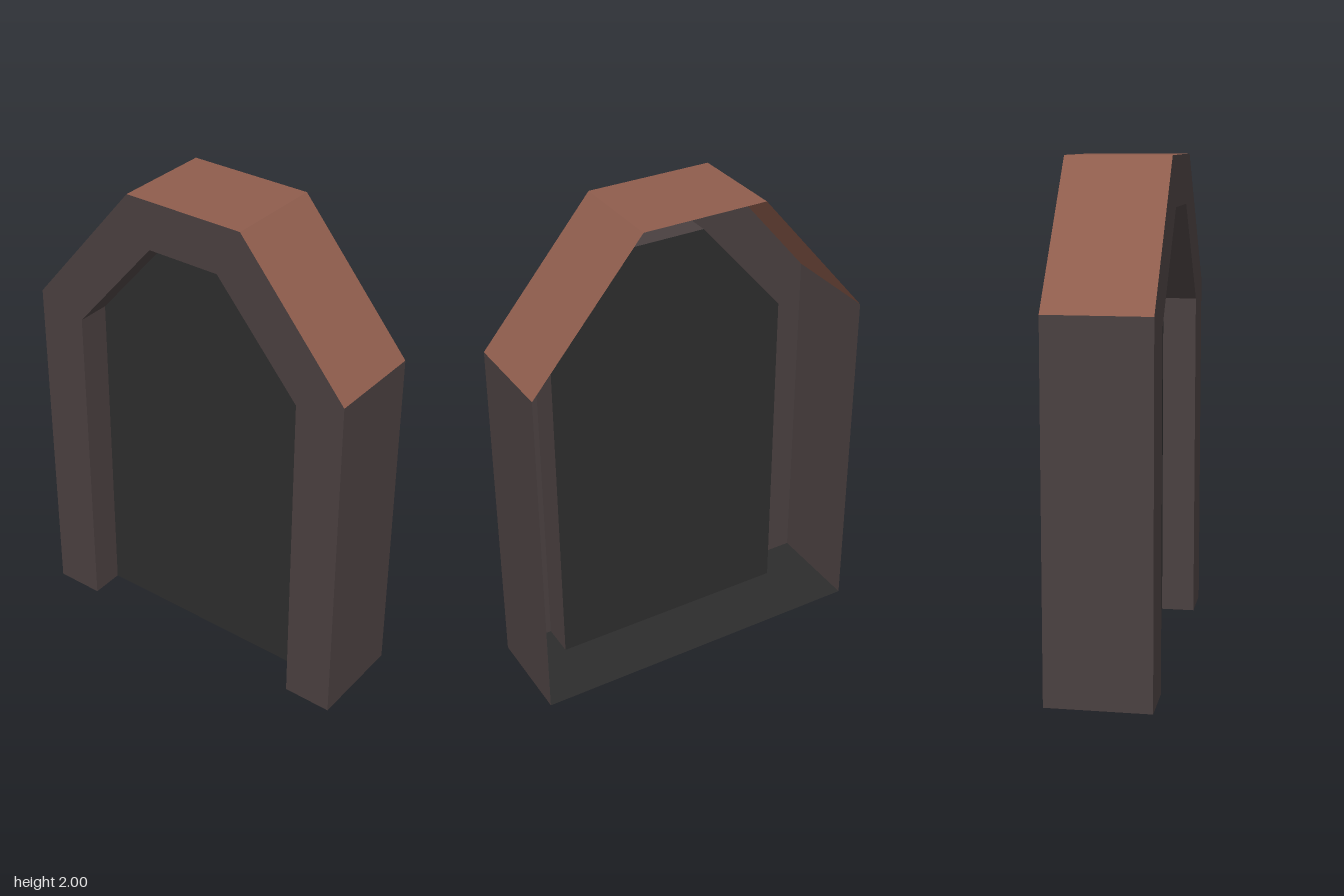
import * as THREE from 'three';

const FRONT = 0.205, BACK = -0.205, PANEL_Z = 0.065;

// Half outlines, mirrored across x: foot, shoulder, crown
const arch = (pts) => [...pts, ...pts.map(([x, y]) => [-x, y]).reverse()];
const OUTER = arch([[0.717, 0], [0.717, 1.453], [0.256, 2]]);
const INNER = arch([[0.513, 0], [0.513, 1.387], [0.155, 1.804]]);

const shapeOf = (pts) => new THREE.Shape(pts.map(([x, y]) => new THREE.Vector2(x, y)));

// Flat quads running in z along the given outline segments
function strip(pts, segments, zFront, zBack, inward) {
  const pos = [];
  for (const i of segments) {
    const [a, b] = inward ? [pts[i + 1], pts[i]] : [pts[i], pts[i + 1]];
    const p = [...a, zFront], q = [...a, zBack], r = [...b, zBack], s = [...b, zFront];
    pos.push(...p, ...q, ...r, ...p, ...r, ...s);
  }
  const geo = new THREE.BufferGeometry();
  geo.setAttribute('position', new THREE.Float32BufferAttribute(pos, 3));
  geo.computeVertexNormals();
  return geo;
}

export function createModel() {
  const group = new THREE.Group();
  const material = (name, color) => {
    const m = new THREE.MeshStandardMaterial({ color, side: THREE.DoubleSide });
    m.name = name;
    return m;
  };
  const stone = material('greyBrownFrame', 0x4a4040);
  const dark = material('darkPanel', 0x2d2d2d);
  const clay = material('redBrownRoof', 0x8f5d4d);

  const add = (name, geo, mat) => {
    const mesh = new THREE.Mesh(geo, mat);
    mesh.name = name;
    group.add(mesh);
    return mesh;
  };

  // Front frame: a flat arch open at the bottom
  const face = shapeOf([...OUTER, ...[...INNER].reverse()]);
  add('frontFrame', new THREE.ShapeGeometry(face), stone).position.z = FRONT;

  // Outer shell, open at the back
  add('sideWalls', strip(OUTER, [0, 4], FRONT, BACK, false), stone);
  add('roof', strip(OUTER, [1, 2, 3], FRONT, BACK, false), clay);

  // Reveal leading back to the recessed panel
  add('doorwayReveal', strip(INNER, [0, 1, 2, 3, 4], FRONT, PANEL_Z, true), stone);
  add('recessedPanel', new THREE.ShapeGeometry(shapeOf(INNER)), dark).position.z = PANEL_Z;

  // Floor with a notch in front of the doorway (shape y becomes z)
  const w = OUTER[0][0], n = INNER[0][0];
  const floor = shapeOf([[-w, BACK], [w, BACK], [w, FRONT], [n, FRONT],
    [n, PANEL_Z], [-n, PANEL_Z], [-n, FRONT], [-w, FRONT]]);
  add('floor', new THREE.ShapeGeometry(floor).rotateX(Math.PI / 2), dark);

  return group;
}
